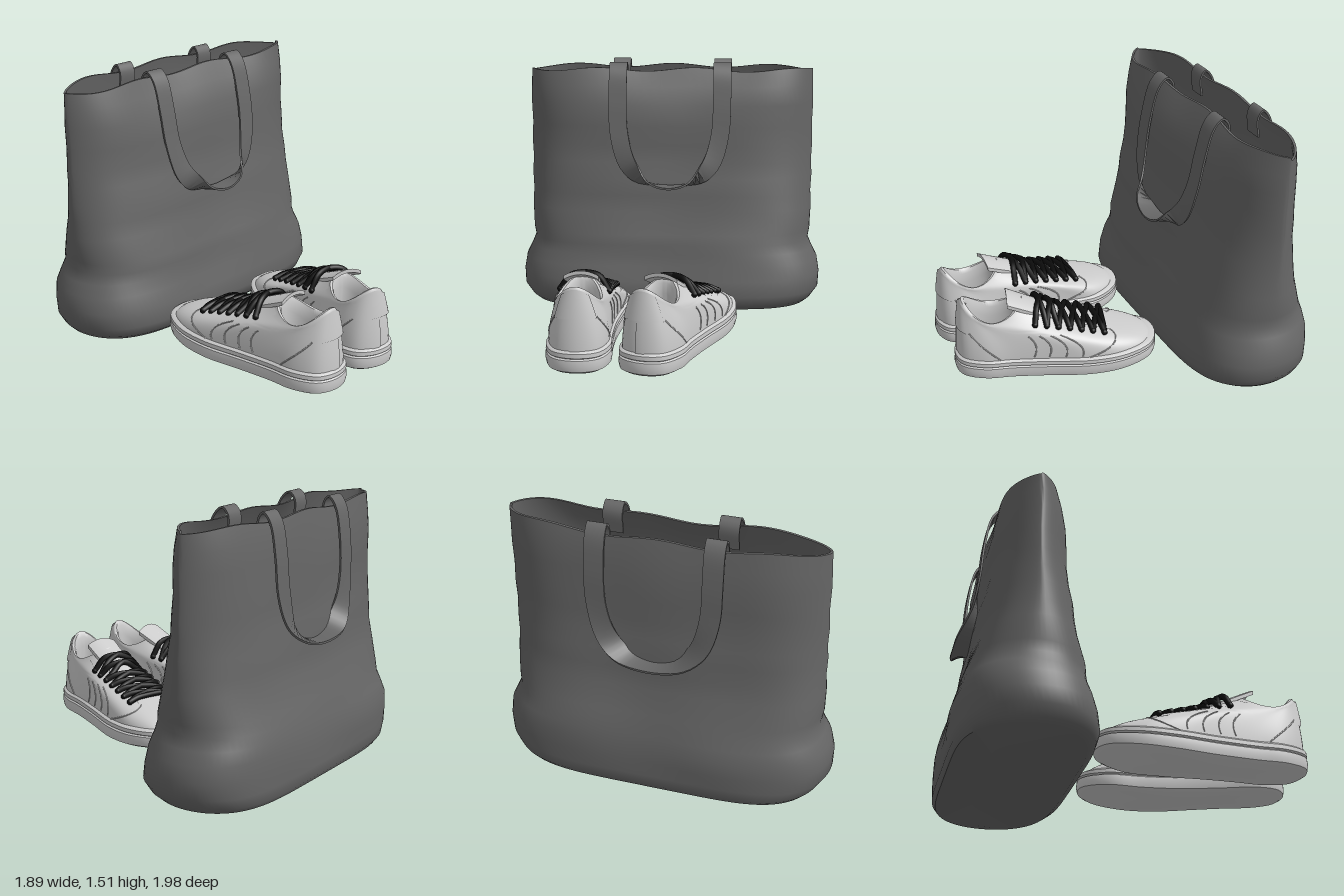
import * as THREE from 'three';
import { toCreasedNormals } from 'three/addons/utils/BufferGeometryUtils.js';
import { ParametricGeometry } from 'three/addons/geometries/ParametricGeometry.js';

const { lerp, clamp, smoothstep } = THREE.MathUtils;
const V = (x, y, z) => new THREE.Vector3(x, y, z);
const mat = (color) => new THREE.MeshStandardMaterial({ color, side: THREE.DoubleSide });
const fabric = mat(0x666666), leather = mat(0xcccccc), black = mat(0x0c0c0c);

function mesh(name, geometry, material) {
  const m = new THREE.Mesh(geometry, material);
  m.name = name;
  return m;
}

// Skin a stack of closed rings; edges sharper than the crease angle stay sharp.
function loft(rings, crease = 0.9) {
  const n = rings[0].length, pos = [], idx = [];
  rings.flat().forEach((p) => pos.push(p.x, p.y, p.z));
  for (let i = 0; i < rings.length - 1; i++) {
    for (let j = 0; j < n; j++) {
      const k = (j + 1) % n;
      const a = i * n + j, b = i * n + k, c = a + n, d = b + n;
      if (rings[i + 1][j].distanceTo(rings[i + 1][k]) > 1e-6) idx.push(a, c, d);
      if (rings[i][j].distanceTo(rings[i][k]) > 1e-6) idx.push(a, d, b);
    }
  }
  const g = new THREE.BufferGeometry();
  g.setAttribute('position', new THREE.Float32BufferAttribute(pos, 3));
  g.setIndex(idx);
  g.computeVertexNormals();
  return toCreasedNormals(g, crease);
}

// ---- Tote bag ----
// Level: height, half width, front z, back z
const bagLevels = [
  [0, 0.87, -0.29, -0.98], [0.03, 0.9, -0.25, -1], [0.09, 0.94, -0.235, -1], [0.18, 0.945, -0.25, -1],
  [0.27, 0.93, -0.27, -1], [0.34, 0.895, -0.29, -0.985], [0.4, 0.87, -0.3, -0.965], [0.46, 0.88, -0.31, -0.945],
  [0.6, 0.885, -0.35, -0.905], [0.7, 0.88, -0.365, -0.89], [0.8, 0.885, -0.38, -0.88], [0.9, 0.88, -0.4, -0.87],
  [1, 0.885, -0.415, -0.86], [1.12, 0.88, -0.425, -0.855], [1.25, 0.885, -0.43, -0.85], [1.36, 0.882, -0.445, -0.84],
  [1.46, 0.88, -0.48, -0.815],
];

function bagRing([y, hw, zf, zb], inset = 0, n = 96) {
  const top = smoothstep(y, 0.4, 1), ring = [];
  const half = (zf - zb) / 2 - inset, mid = (zf + zb) / 2;
  for (let j = 0; j < n; j++) {
    const a = (j / n) * Math.PI * 2, u = Math.sin(a), front = Math.cos(a) < 0;
    const depth = half * Math.pow(Math.max(0, 1 - Math.abs(u) ** 5), lerp(0.5, 0.75, top));
    let z = mid + (front ? depth : -depth);
    // soft creases, and a front rim that sags inward
    const edge = 1 - u ** 4, soft = smoothstep(y, 0.02, 0.2);
    z += 0.009 * soft * edge * Math.sin(8 * y + 5 * u + (front ? 0 : 2)) * Math.cos(11 * y - 3 * u);
    if (front) z -= 0.075 * smoothstep(y, 1.2, 1.47) * (1 - u * u) ** 2;
    const rim = 0.012 * smoothstep(y, 1.3, 1.46) * Math.sin(9 * u + (front ? 0 : 1.5));
    ring.push(V((hw - inset) * u, y + rim, z));
  }
  return ring;
}

function makeBag() {
  const bag = new THREE.Group();
  bag.name = 'toteBag';
  const shrink = (ring, y) => ring.map(() => V(0, y, -0.62));
  const outer = bagLevels.map((l) => bagRing(l));
  const inner = bagLevels.slice(2).reverse().map((l) => bagRing(l, 0.015));
  bag.add(mesh('bagBody', loft([shrink(outer[0], 0), ...outer, ...inner, shrink(inner[0], 0.09)]), fabric));

  // Flat strap that hangs over the rim and twists flat at the bottom of its loop
  const strap = (name, half) => {
    const pts = half.map(([x, y, z]) => V(-x, y, z));
    half.slice(0, -1).reverse().forEach((p) => pts.push(V(...p)));
    const curve = new THREE.CatmullRomCurve3(pts, false, 'centripetal');
    const rings = [];
    for (let i = 0; i <= 80; i++) {
      const t = i / 80, p = curve.getPoint(t), T = curve.getTangent(t);
      const phi = Math.PI * smoothstep(t, 0.3, 0.7);
      const w = V(Math.cos(phi), 0, Math.sin(phi));
      w.addScaledVector(T, -w.dot(T)).normalize();
      const nrm = T.clone().cross(w).normalize();
      rings.push([[-1, 1], [1, 1], [1, -1], [-1, -1]].map(([a, b]) =>
        p.clone().addScaledVector(w, a * 0.055).addScaledVector(nrm, b * 0.006)));
    }
    bag.add(mesh(name, loft(rings), fabric));
  };
  strap('frontHandle', [[0.32, 1.34, -0.565], [0.32, 1.46, -0.57], [0.32, 1.5, -0.53], [0.32, 1.45, -0.475],
    [0.32, 1.28, -0.425], [0.31, 1.08, -0.39], [0.255, 0.9, -0.355], [0.15, 0.8, -0.32], [0, 0.765, -0.305]]);
  strap('backHandle', [[0.32, 1.34, -0.77], [0.32, 1.46, -0.76], [0.32, 1.5, -0.79], [0.32, 1.45, -0.835],
    [0.32, 1.28, -0.87], [0.31, 1.08, -0.885], [0.255, 0.9, -0.9], [0.15, 0.8, -0.92], [0, 0.765, -0.925]]);
  return bag;
}

// ---- Sneakers ----
// Sole outline as [x, distance from heel], from the toe round the outer side
const LENGTH = 1.2;
const footprint = [[0, 1.2], [0.13, 1.155], [0.215, 1], [0.235, 0.8], [0.205, 0.55], [0.185, 0.33], [0.18, 0.17],
  [0.12, 0.04], [0, 0], [-0.12, 0.04], [-0.175, 0.17], [-0.17, 0.33], [-0.17, 0.55], [-0.195, 0.8], [-0.22, 1], [-0.14, 1.155]];

function makeShoe(name, side) {
  const shoe = new THREE.Group();
  shoe.name = name;
  const at = (x, y, s) => V(x, y, LENGTH / 2 - s);
  const outline = new THREE.CatmullRomCurve3(footprint.map((_, i) => {
    const [x, s] = footprint[side > 0 ? i : (16 - i) % 16];
    return at(side * x, 0, s);
  }), true);
  const edge = (u, inset, y) => {
    const p = outline.getPoint(((u % 1) + 1) % 1);
    return V(p.x * (1 - inset / 0.2), y, p.z * (1 - inset / 0.6));
  };
  const N = 72, around = (f) => Array.from({ length: N }, (_, j) => f(j / N));

  // Sole with a grooved side and a lifted toe
  const soleRings = [[0.2, 0.015], [0.03, 0.015], [0.006, 0.03], [0, 0.06], [0.003, 0.093], [0.013, 0.1],
    [0.003, 0.107], [0.004, 0.13], [0.022, 0.145], [0.1, 0.145]].map(([inset, y]) => around((u) => {
    const p = edge(u, inset, y);
    p.y += 0.045 * clamp((0.15 - LENGTH / 8 - p.z) / 0.6, 0, 1) ** 2 * (1 - 3.5 * y);
    if (inset === 0.2) p.set(0, y, 0);
    return p;
  }));
  shoe.add(mesh('sole', loft(soleRings, 0.7), leather));

  // Upper: each column is a curve from the sole edge to the collar
  const collar = (u, k = 1, dy = 0) => {
    const c = Math.cos(u * Math.PI * 2);
    return at(0.13 * k * Math.sin(u * Math.PI * 2), 0.36 + (c < 0 ? 0.11 : 0.085) * c * c + dy, 0.235 + 0.185 * k * c);
  };
  const skin = (u, v) => {
    const c = Math.cos(u * Math.PI * 2), P = edge(u, 0.018, 0.125), Q = collar(u);
    const P1 = P.clone().lerp(Q, 0.03).setY(0.25);
    const P2 = P.clone().lerp(Q, 0.57).setY(lerp(0.31, c > 0 ? 0.22 : 0.37, c * c));
    return new THREE.CubicBezierCurve3(P, P1, P2, Q).getPoint(v);
  };
  const raised = (u, v, off) => {
    const p = skin(u, v), e = 0.004, v1 = Math.min(v + e, 1);
    const along = skin(u + e, v).sub(skin(u - e, v)), up = skin(u, v1).sub(skin(u, v1 - 2 * e));
    return p.addScaledVector(up.cross(along).normalize(), off);
  };
  const rings = Array.from({ length: 21 }, (_, i) => around((u) => skin(u, i / 20)));
  [[0.95, 0.012], [0.86, 0.008], [0.8, -0.02], [0.78, -0.08]].forEach(([k, dy]) => rings.push(around((u) => collar(u, k, dy))));
  rings.push(around((u) => collar(u, 0.85).setY(0.2)), around(() => at(0, 0.2, 0.235)));
  const upper = mesh('upper', loft(rings, 1), leather);

  // Tongue: a bent slab rising out of the laces
  const tongueGeo = new THREE.BoxGeometry(0.19, 0.022, 0.3, 10, 1, 10), tp = tongueGeo.attributes.position;
  for (let i = 0; i < tp.count; i++) {
    const x = tp.getX(i), z = tp.getZ(i), t = z / 0.3 + 0.5;
    tp.setXYZ(i, x * (0.85 + 0.15 * t), tp.getY(i) + 0.35 + 0.135 * t - 3 * x * x, z + LENGTH / 2 - 0.47);
  }
  tongueGeo.computeVertexNormals();
  const tongue = mesh('tongue', tongueGeo, leather);
  shoe.add(upper, tongue);

  // Overlay panels
  const panel = (label, u0, u1, v0, v1, off) => shoe.add(mesh(label, new ParametricGeometry((a, b, out) => {
    const rim = Math.min(a, 1 - a, b, 1 - b) < 0.01 ? -0.002 : off;
    out.copy(raised(lerp(u0, u1, a), lerp(v0, v1, b), rim));
  }, 16, 16), leather));
  panel('heelTab', 0.41, 0.59, 0.5, 1, 0.012);
  panel('heelStrip', 0.485, 0.515, 0.02, 0.52, 0.006);
  for (const s of [1, -1]) panel('eyeletPanel', s * 0.055, s * 0.15, 0.45, 1, 0.01);

  // Side stitching and toe seam
  const seam = (f) => {
    const pts = Array.from({ length: 13 }, (_, i) => raised(...f(i / 12), 0.001));
    shoe.add(mesh('seam', new THREE.TubeGeometry(new THREE.CatmullRomCurve3(pts), 30, 0.004, 5), leather));
  };
  for (const s of [1, -1]) {
    for (const u of [0.2, 0.225, 0.25, 0.275]) seam((t) => [s * (u - 0.035 * t), 0.08 + 0.52 * t]);
    seam((t) => [s * lerp(0.19, 0.055, t), lerp(0.05, 0.47, t)]);
    seam((t) => [s * lerp(0.34, 0.41, t), lerp(0.05, 0.55, t)]);
  }

  // Laces draped over the upper and tongue
  const ray = new THREE.Raycaster();
  const drape = (x, s) => {
    ray.set(at(x, 2, s), V(0, -1, 0));
    const hit = ray.intersectObjects([upper, tongue])[0];
    return at(x, (hit ? hit.point.y : 0.3) + 0.024, s);
  };
  const lace = (s0, s1) => {
    const pts = [-1, -0.6, -0.2, 0.2, 0.6, 1].map((t) => drape(t * 0.138, lerp(s0, s1, (t + 1) / 2)));
    pts[0].y -= 0.006;
    pts[5].y -= 0.006;
    shoe.add(mesh('lace', new THREE.TubeGeometry(new THREE.CatmullRomCurve3(pts), 24, 0.017, 8), black));
    for (const p of [pts[0], pts[5]]) {
      const end = mesh('laceEnd', new THREE.SphereGeometry(0.018, 10, 8), black);
      end.position.copy(p);
      shoe.add(end);
    }
  };
  const row = (i) => 0.875 - i * 0.067;
  lace(row(0), row(0));
  for (let i = 0; i < 6; i++) {
    lace(row(i), row(i + 1));
    lace(row(i + 1), row(i));
  }
  return shoe;
}

export function createModel() {
  const model = new THREE.Group();
  model.name = 'bagAndSneakers';
  const leftShoe = makeShoe('leftToeShoe', -1);
  leftShoe.position.set(-0.42, 0, 0.355);
  const rightShoe = makeShoe('rightToeShoe', 1);
  rightShoe.position.set(0.1, 0, 0.39);
  rightShoe.rotation.y = -0.31;
  model.add(makeBag(), leftShoe, rightShoe);
  return model;
}
